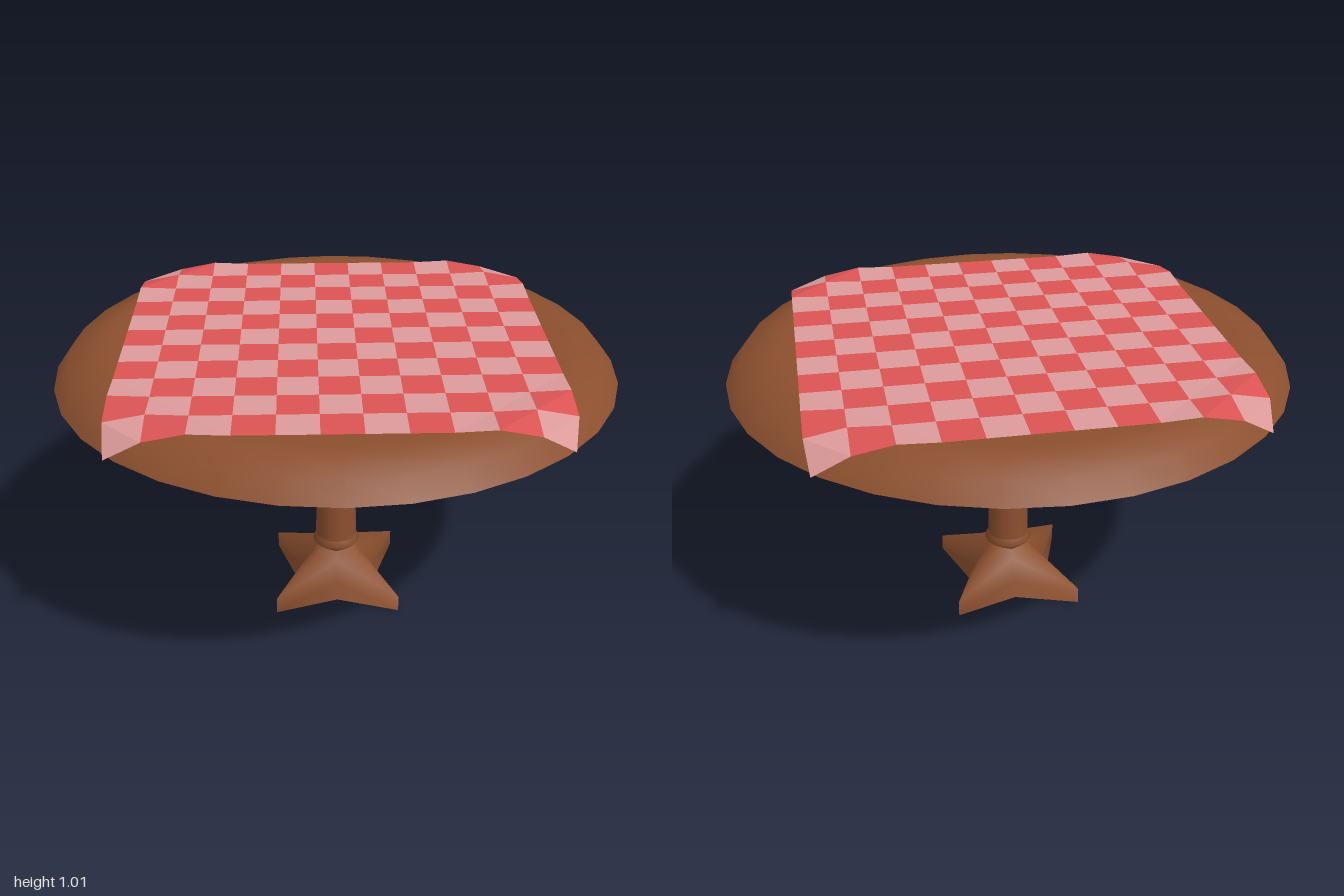
import * as THREE from 'three';

const wood = new THREE.MeshStandardMaterial({ color: 0x8b4f2e, side: THREE.DoubleSide });
wood.name = 'brown wood';
const pink = new THREE.MeshStandardMaterial({ color: 0xdc9a9a, side: THREE.DoubleSide });
pink.name = 'pale pink cloth';
const red = new THREE.MeshStandardMaterial({ color: 0xdc5454, side: THREE.DoubleSide });
red.name = 'red cloth';

function part(name, geometry, material) {
  const mesh = new THREE.Mesh(geometry, material);
  mesh.name = name;
  return mesh;
}

// Turned part; a repeated point makes a hard edge
function turned(points, sides) {
  return new THREE.LatheGeometry(points.map(([r, y]) => new THREE.Vector2(r, y)), sides);
}

// Hollow four-pointed foot: rings of alternating tips and valleys
function footGeometry() {
  const rings = [ // y at tip, tip radius, y at valley, valley radius
    [0, 0.315, 0, 0.15],
    [0.06, 0.315, 0.06, 0.13],
    [0.148, 0.115, 0.13, 0.085],
    [0.185, 0.065, 0.185, 0.065],
  ];
  const n = 8, pos = [], index = [];
  rings.forEach(([yTip, rTip, yIn, rIn]) => {
    for (let i = 0; i < n; i++) {
      const a = i * Math.PI * 2 / n, r = i % 2 ? rIn : rTip;
      pos.push(r * Math.sin(a), i % 2 ? yIn : yTip, r * Math.cos(a));
    }
  });
  for (let k = 0; k < rings.length - 1; k++) {
    for (let i = 0; i < n; i++) {
      const a = k * n + i, b = k * n + (i + 1) % n;
      // Split each quad along the side that keeps the arm ridge symmetric
      if (i % 2) index.push(a, b, a + n, b, b + n, a + n);
      else index.push(a, b, b + n, a, b + n, a + n);
    }
  }
  const g = new THREE.BufferGeometry();
  g.setAttribute('position', new THREE.Float32BufferAttribute(pos, 3));
  g.setIndex(index);
  g.computeVertexNormals();
  return g;
}

// Checks of one colour; the cloth lies diagonally and its corners droop over the rim
function checksGeometry(parity) {
  const n = 11, pos = [];
  const point = (i, j) => {
    const a = i - j, b = i + j - n;
    const k = Math.max(Math.abs(a), Math.abs(b));
    const y = k <= 8 ? 1.004 : [1.01, 0.985, 0.92][k - 9];
    const x = THREE.MathUtils.clamp(a * 0.0925, -1, 1);
    const z = THREE.MathUtils.clamp(b * 0.0925, -0.985, 0.985);
    return [x, y, z];
  };
  for (let i = 0; i < n; i++) {
    for (let j = 0; j < n; j++) {
      if ((i + j) % 2 !== parity) continue;
      const p = point(i, j), q = point(i, j + 1), r = point(i + 1, j + 1), s = point(i + 1, j);
      // Fold across the corner direction
      if (Math.abs(i - j) > Math.abs(i + j + 1 - n)) pos.push(...p, ...q, ...r, ...p, ...r, ...s);
      else pos.push(...p, ...q, ...s, ...q, ...r, ...s);
    }
  }
  const g = new THREE.BufferGeometry();
  g.setAttribute('position', new THREE.Float32BufferAttribute(pos, 3));
  g.computeVertexNormals();
  return g;
}

export function createModel() {
  const model = new THREE.Group();
  model.name = 'roundTable';

  // Round top with a sloping rim
  model.add(part('tableTop', turned([
    [0, 0.9], [0.96, 0.9], [0.96, 0.9], [0.91, 0.965], [0.82, 0.998], [0.78, 1], [0, 1],
  ], 32), wood));

  // Column with a bead at the foot and a flared collar under the top
  model.add(part('column', turned([
    [0.065, 0.15], [0.075, 0.17], [0.086, 0.185], [0.075, 0.205], [0.075, 0.21],
    [0.07, 0.48], [0.075, 0.75], [0.075, 0.75], [0.127, 0.835], [0.127, 0.835], [0.127, 0.9],
  ], 16), wood));

  model.add(part('foot', footGeometry(), wood));

  // Checked cloth
  const cloth = new THREE.Group();
  cloth.name = 'tablecloth';
  cloth.add(part('pinkChecks', checksGeometry(0), pink));
  cloth.add(part('redChecks', checksGeometry(1), red));
  model.add(cloth);

  return model;
}
